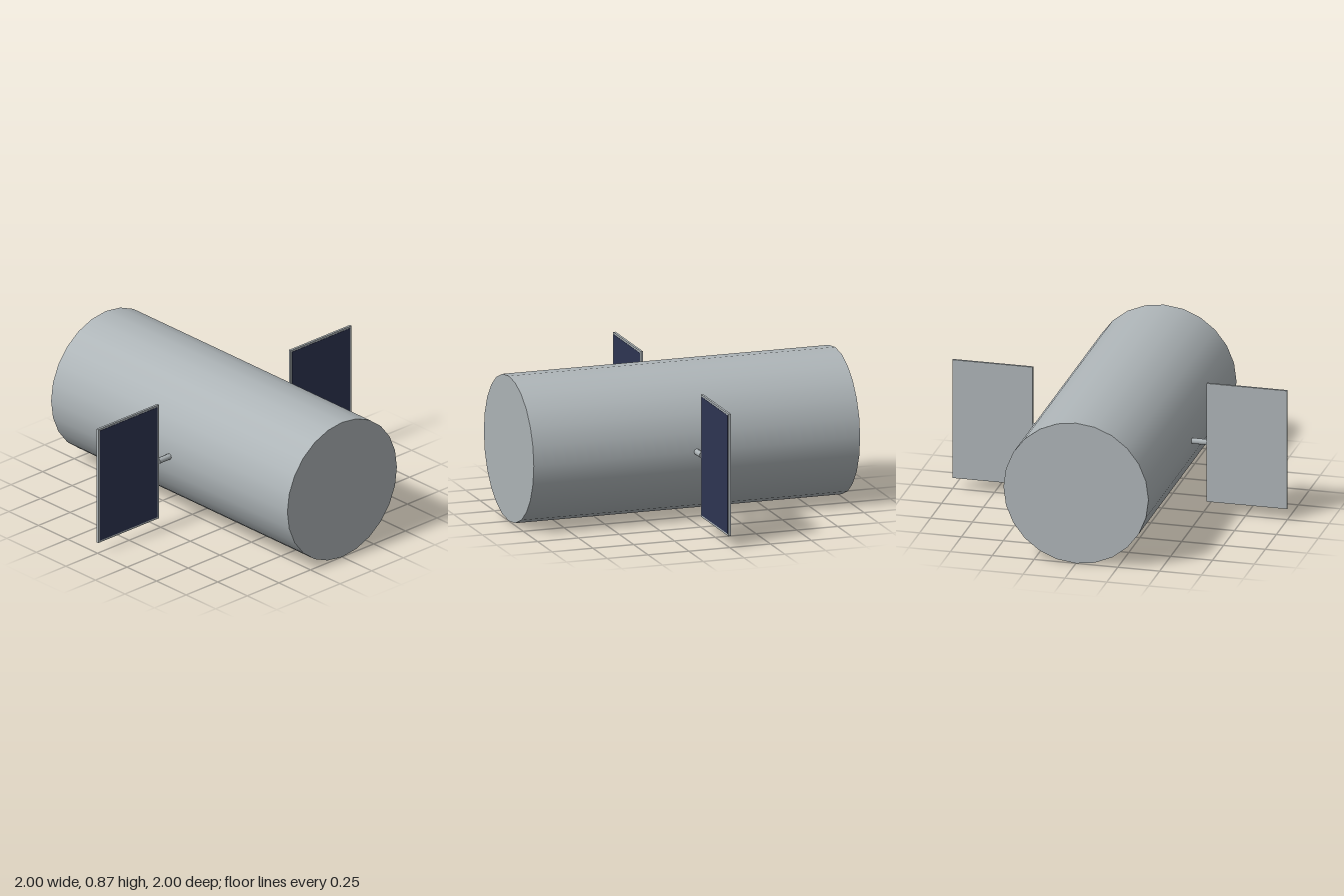
import * as THREE from 'three';

const hull = new THREE.MeshStandardMaterial({ color: 0xaeb5b8 });
hull.name = 'hullGrey';
const solar = new THREE.MeshStandardMaterial({ color: 0x2e3553 });
solar.name = 'solarNavy';

const RADIUS = 0.433;

function addMesh(parent, name, geometry, material, x = 0, y = 0, z = 0) {
  const mesh = new THREE.Mesh(geometry, material);
  mesh.name = name;
  mesh.position.set(x, y, z);
  parent.add(mesh);
  return mesh;
}

// Panel on a short strut; side is +1 for left, -1 for right
function createWing(side) {
  const wing = new THREE.Group();
  wing.name = side > 0 ? 'leftWing' : 'rightWing';
  const strut = new THREE.CylinderGeometry(0.018, 0.018, 0.12, 8).rotateZ(Math.PI / 2);
  addMesh(wing, 'strut', strut, hull, side * 0.46);
  addMesh(wing, 'panelFrame', new THREE.BoxGeometry(0.48, 0.73, 0.014), hull, side * 0.76);
  // Solar cells cover the front face only
  addMesh(wing, 'solarCells', new THREE.BoxGeometry(0.456, 0.706, 0.002), solar, side * 0.76, 0, 0.0075);
  return wing;
}

export function createModel() {
  const model = new THREE.Group();
  model.name = 'satellite';

  // Cylindrical body lying along z
  const body = new THREE.CylinderGeometry(RADIUS, RADIUS, 2, 24).rotateX(Math.PI / 2);
  addMesh(model, 'body', body, hull, 0, RADIUS);

  for (const side of [1, -1]) {
    const wing = createWing(side);
    wing.position.y = RADIUS;
    model.add(wing);
  }
  return model;
}
